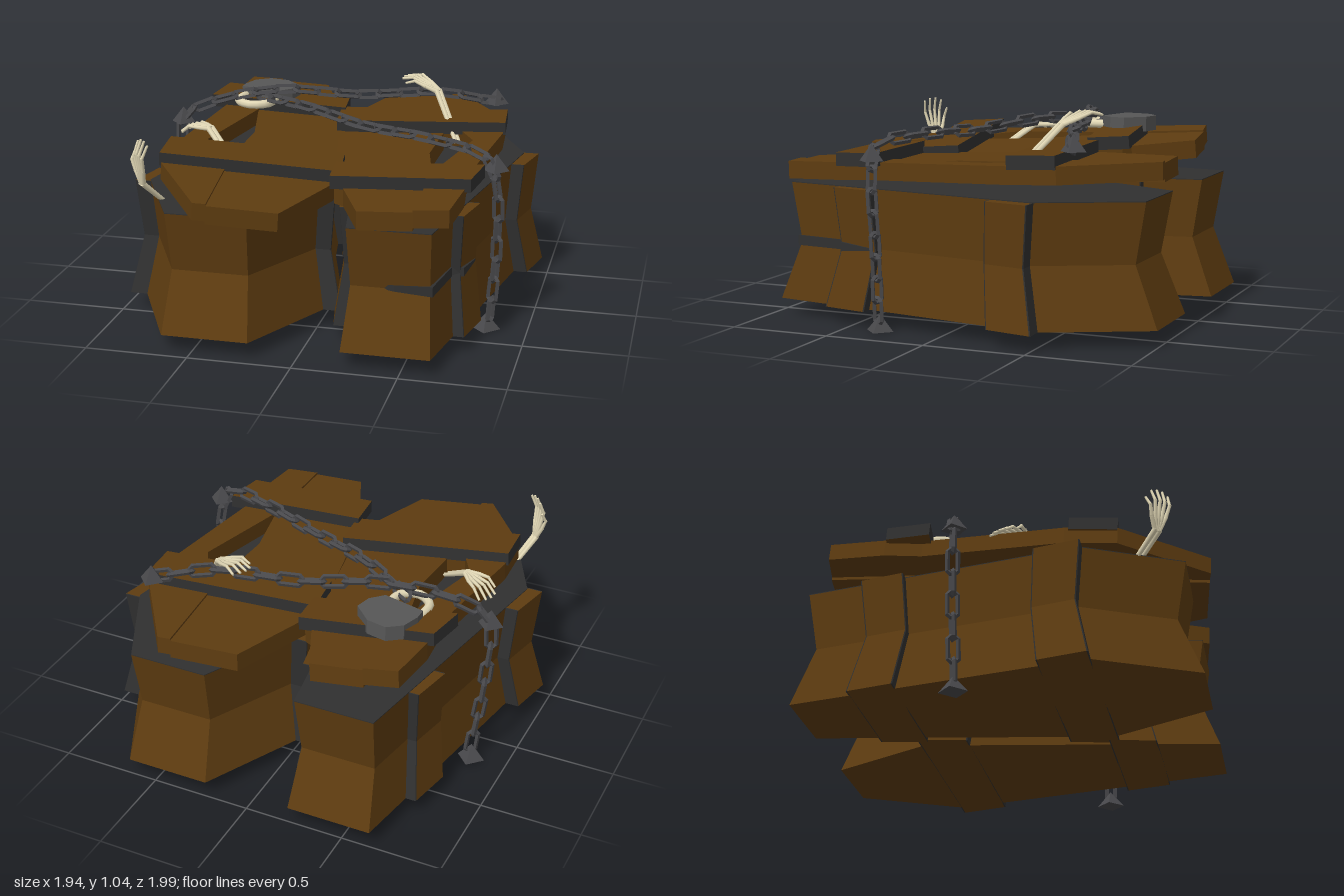
import * as THREE from 'three';

const mat = (name, color) => Object.assign(new THREE.MeshStandardMaterial({ color }), { name });
const V = (x, y, z) => new THREE.Vector3(x, y, z);

export function createModel() {
  const wood = mat('brown wood', 0x5e3c10);
  const dark = mat('dark gap', 0x303030);
  const iron = mat('chain iron', 0x48484b);
  const steel = mat('lock grey', 0x575757);
  const bone = mat('bone', 0xe2d8b6);
  const model = new THREE.Group();
  model.name = 'chainedCoffins';

  const add = (parent, name, geometry, material) => {
    const mesh = new THREE.Mesh(geometry, material);
    mesh.name = name;
    parent.add(mesh);
    return mesh;
  };
  // Flat slab from an x/z outline, between two heights
  const slab = (pts, y0, y1, steps = 1) => {
    const shape = new THREE.Shape(pts.map(([x, z]) => new THREE.Vector2(x, -z)));
    return new THREE.ExtrudeGeometry(shape, { depth: y1 - y0, steps, bevelEnabled: false })
      .rotateX(-Math.PI / 2).translate(0, y0, 0);
  };
  // Coffin walls narrow at the waist and flare to the floor
  const waisted = (pts) => {
    const g = slab(pts, 0.08, 0.66, 2);
    const p = g.attributes.position;
    for (let i = 0; i < p.count; i++) {
      const y = p.getY(i);
      const s = y < 0.2 ? 1 : y < 0.5 ? 0.885 : 0.935;
      p.setX(i, p.getX(i) * s);
      p.setZ(i, p.getZ(i) * s);
    }
    g.computeVertexNormals();
    return g;
  };

  const outline = [[-0.21, -1], [0.21, -1], [0.46, -0.5], [0.21, 0.95], [-0.21, 0.95], [-0.46, -0.5]];
  const strap = (z0, w0, z1, w1) => [[-w0, z0], [w0, z0], [w1, z1], [-w1, z1]];

  function coffinBody(name) {
    const g = new THREE.Group();
    g.name = name;
    add(g, 'walls', waisted(outline), wood);
    add(g, 'inside', slab(outline.map(([x, z]) => [x * 0.935, z * 0.935]), 0.66, 0.664), dark);
    // Straps wrap round the walls, with dark end faces
    for (const [z0, w0, z1, w1] of [[-0.51, 0.54, -0.28, 0.49], [0.42, 0.36, 0.64, 0.315]]) {
      add(g, 'strap', waisted(strap(z0, w0, z1, w1)), wood);
      add(g, 'strapBackFace', waisted(strap(z0 - 0.006, w0 - 0.003, z0, w0)), dark);
      add(g, 'strapFrontFace', waisted(strap(z1, w1, z1 + 0.006, w1 - 0.003)), dark);
    }
    model.add(g);
    return g;
  }
  const rightBody = coffinBody('coffinA');
  rightBody.position.x = 0.43;
  const leftBody = coffinBody('coffinB');
  leftBody.rotation.y = Math.PI;
  leftBody.position.set(-0.43, 0, -0.05);

  // Split in the foot of one coffin, thickest at the corner
  const split = slab([[0.27, 0.82], [0.45, 0.848], [0.63, 0.855], [0.67, 0.575], [0.725, 0.57], [0.75, 0.39], [0.5, 0.4]], -0.5, 0.5);
  const sp = split.attributes.position;
  for (let i = 0; i < sp.count; i++) {
    const d = Math.hypot(sp.getX(i) - 0.65, sp.getZ(i) - 0.72);
    sp.setY(i, 0.375 + sp.getY(i) * 0.075 * Math.max(0.02, 1 - d / 0.4));
  }
  split.computeVertexNormals();
  add(model, 'splitInWall', split, dark);

  // Broken lid: two boards with a crack between, and two cross planks
  const innerBoard = [[0.07, -0.91], [0.4, -0.95], [0.47, -0.28], [0.46, 0.05], [0.53, 0.36], [0.54, 0.89],
    [0.29, 0.92], [0.16, 0.63], [0.11, 0.6], [-0.06, -0.2], [-0.08, -0.46]];
  const outerBoard = [[0.4, -0.95], [0.46, -0.96], [0.75, -0.55], [0.77, -0.3], [0.7, 0.4], [0.72, 0.58],
    [0.7, 0.86], [0.54, 0.89], [0.53, 0.36], [0.64, -0.16], [0.55, -0.32], [0.47, -0.28]];
  const widePlank = [[-0.1, -0.45], [0.76, -0.55], [0.78, -0.32], [-0.07, -0.21]];
  const narrowPlank = [[0.08, 0.43], [0.78, 0.35], [0.75, 0.57], [0.1, 0.64]];
  function lid(name, x, y, z, turn, pitch, roll) {
    const pose = new THREE.Group();
    pose.name = name;
    pose.position.set(x, y, z);
    pose.rotation.set(pitch, 0, roll);
    const boards = new THREE.Group();
    boards.rotation.y = turn;
    add(boards, 'innerBoard', slab(innerBoard, -0.015, 0.075), wood);
    add(boards, 'outerBoard', slab(outerBoard, 0, 0.085), wood);
    for (const plank of [widePlank, narrowPlank]) add(boards, 'crossPlank', slab(plank, 0.07, 0.135), [wood, dark]);
    boards.children.forEach((m) => m.geometry.translate(-0.34, 0, 0));
    pose.add(boards);
    model.add(pose);
  }
  lid('lidA', 0.34, 0.71, 0, 0, 0.03, 0.01);
  lid('lidB', -0.34, 0.725, 0.03, Math.PI, 0.06, -0.08);

  // Square-barred chain link, stretched along x
  const ring = new THREE.TorusGeometry(0.026, 0.012, 4, 8, Math.PI * 2).rotateZ(Math.PI / 8);
  const rp = ring.attributes.position;
  for (let i = 0; i < rp.count; i++) rp.setX(i, rp.getX(i) + Math.sign(rp.getX(i)) * 0.037);
  const link = ring.toNonIndexed();
  link.computeVertexNormals();
  function chain(name, pts) {
    const g = new THREE.Group();
    g.name = name;
    const curve = new THREE.CatmullRomCurve3(pts.map((p) => V(...p)), false, 'centripetal');
    const n = Math.round(curve.getLength() / 0.105);
    for (let i = 0; i <= n; i++) {
      const m = add(g, 'link', link, iron);
      m.position.copy(curve.getPointAt(i / n));
      m.quaternion.setFromUnitVectors(V(1, 0, 0), curve.getTangentAt(i / n));
      m.rotateX(i % 2 ? 1.9 : 0.5);
    }
    model.add(g);
  }
  chain('backChain', [[-0.82, 0.1, -0.17], [-0.87, 0.5, -0.17], [-0.87, 0.82, -0.17], [-0.75, 0.9, -0.19],
    [-0.4, 0.97, -0.29], [0, 0.94, -0.4], [0.4, 0.95, -0.5], [0.66, 0.9, -0.59]]);
  chain('frontChain', [[-0.47, 0.93, -0.27], [-0.2, 0.94, -0.1], [0.15, 0.91, 0.08], [0.5, 0.91, 0.23],
    [0.77, 0.87, 0.34], [0.83, 0.75, 0.34], [0.84, 0.4, 0.32], [0.82, 0.1, 0.32]]);
  // Jagged ends of the chains
  for (const [x, y, z, s] of [[-0.82, 0.04, -0.17, 1], [0.8, 0.04, 0.32, 1], [0.83, 0.85, 0.34, 0.9], [-0.88, 0.84, -0.165, 0.9], [0.69, 0.92, -0.61, 0.9]]) {
    const tip = add(model, 'chainSpike', new THREE.ConeGeometry(0.07 * s, 0.08, 4).toNonIndexed(), iron);
    tip.geometry.computeVertexNormals();
    tip.position.set(x, y, z);
  }

  // Padlock lying flat, with a bone shackle
  const lock = [[-0.6, -0.55], [-0.53, -0.6], [-0.43, -0.58], [-0.34, -0.49], [-0.36, -0.41], [-0.42, -0.35], [-0.63, -0.4], [-0.63, -0.46]];
  add(model, 'lockBody', slab(lock, 0.87, 0.945), steel);
  const shackle = new THREE.CatmullRomCurve3([V(-0.61, 0.9, -0.42), V(-0.61, 0.9, -0.27), V(-0.53, 0.9, -0.21),
    V(-0.45, 0.9, -0.25), V(-0.44, 0.9, -0.4)]);
  add(model, 'lockShackle', new THREE.TubeGeometry(shackle, 14, 0.022, 8), bone);

  // Tapered bone between two points
  const stick = (g, name, a, b, ra, rb) => {
    const d = b.clone().sub(a);
    const m = add(g, name, new THREE.CylinderGeometry(rb, ra, d.length() + ra, 6), bone);
    m.position.copy(a).lerp(b, 0.5);
    m.quaternion.setFromUnitVectors(V(0, 1, 0), d.normalize());
  };
  function hand(name, elbow, wrist, tip, up) {
    const g = new THREE.Group();
    g.name = name;
    const [e, w, t, u] = [elbow, wrist, tip, up].map((p) => V(...p));
    const reach = t.clone().sub(w);
    const side = reach.clone().cross(u).normalize();
    const at = (k, s, h) => w.clone().addScaledVector(reach, k).addScaledVector(side, s).addScaledVector(u, h);
    for (const s of [-0.012, 0.012]) {
      stick(g, 'forearm', e.clone().addScaledVector(side, s), at(0, s, 0), 0.011, 0.014);
    }
    for (let i = -2; i <= 2; i++) {
      const len = i === -2 ? 0.7 : 1 - Math.abs(i - 0.5) * 0.06;
      const joints = [at(0, i * 0.006, 0), at(0.36 * len, i * 0.02, 0.012), at(0.7 * len, i * 0.028, 0.022), at(len, i * 0.032, -0.004)];
      for (let j = 0; j < 3; j++) stick(g, 'finger', joints[j], joints[j + 1], 0.012 - j * 0.002, 0.01 - j * 0.002);
    }
    model.add(g);
  }
  hand('raisedHand', [-0.7, 0.64, 0.66], [-0.77, 0.76, 0.77], [-0.77, 0.98, 0.78], [-0.7, 0, 0.7]);
  hand('drapedHand', [-0.49, 0.74, 0.26], [-0.64, 0.86, 0.13], [-0.81, 0.82, 0.03], [0, 1, 0]);
  hand('reachingHand', [0.54, 0.76, -0.27], [0.41, 0.97, -0.44], [0.21, 1.02, -0.54], [0, 1, 0]);
  return model;
}
